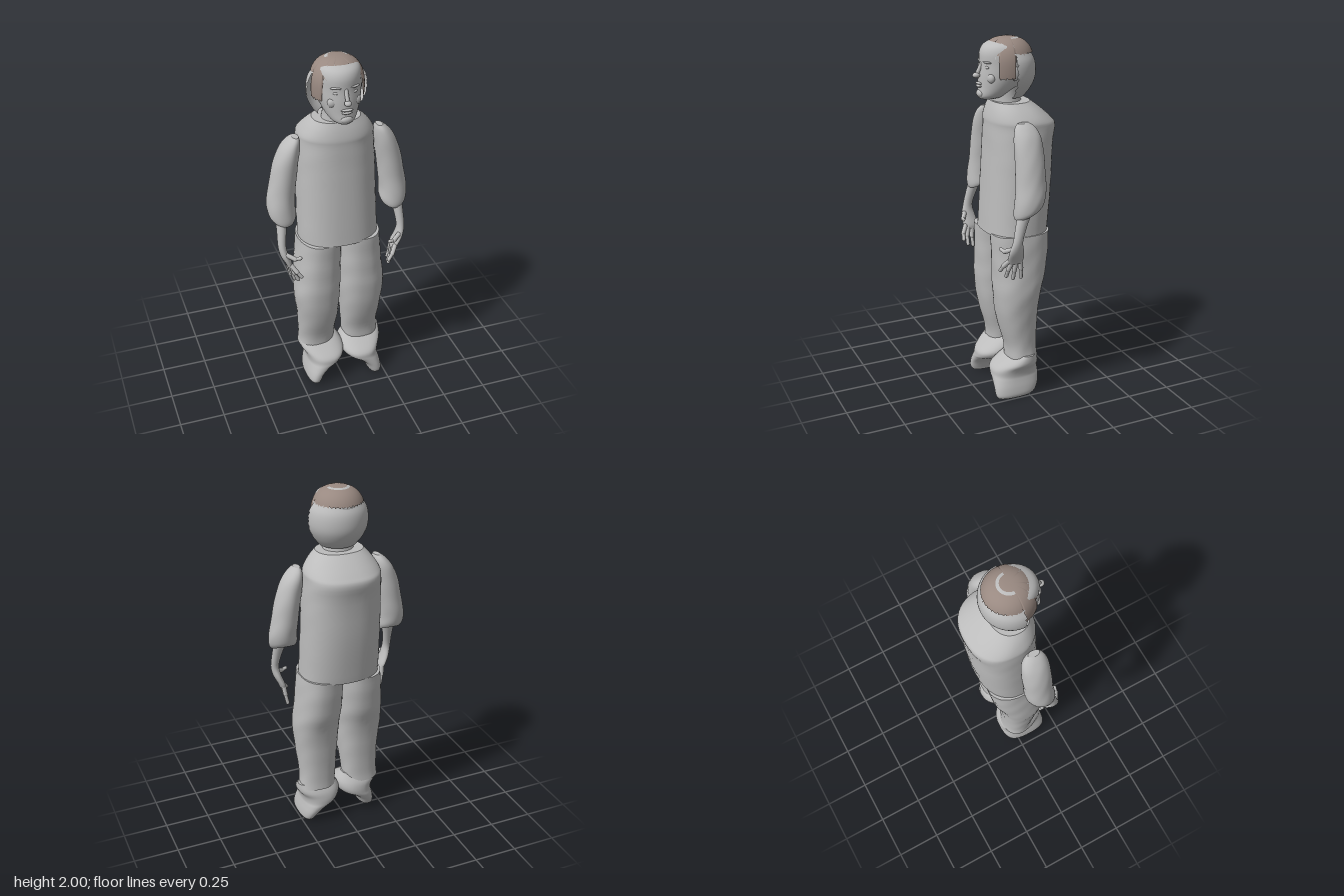
import * as THREE from 'three';

const SIDE = THREE.DoubleSide;

// Smooth interpolation of one ring value between neighbours
function cubic(a, b, c, d, t) {
  const m0 = (c - a) / 2, m1 = (d - b) / 2, t2 = t * t, t3 = t2 * t;
  return (2 * t3 - 3 * t2 + 1) * b + (t3 - 2 * t2 + t) * m0 + (3 * t2 - 2 * t3) * c + (t3 - t2) * m1;
}

// Loft through horizontal rings [y, x0, x1, z0, z1, tilt], listed from bottom to top
function loft(rings, { seg = 36, steps = 4, power = 2, ripple = 0 } = {}) {
  const rows = [];
  const last = rings.length - 1;
  for (let i = 0; i <= last * steps; i++) {
    const k = Math.min(Math.floor(i / steps), last - 1), t = i / steps - k;
    const at = (j) => rings[Math.max(0, Math.min(last, j))];
    rows.push([0, 1, 2, 3, 4, 5].map((c) =>
      cubic(at(k - 1)[c] ?? 0, at(k)[c] ?? 0, at(k + 1)[c] ?? 0, at(k + 2)[c] ?? 0, t)));
  }
  const pos = [], idx = [];
  const bend = (v) => Math.sign(v) * Math.abs(v) ** (2 / power);
  const addRing = ([y, x0, x1, z0, z1, tilt]) => {
    for (let s = 0; s < seg; s++) {
      const a = (s / seg) * Math.PI * 2;
      const f = 1 + ripple * Math.sin(y * 37 + 2 * Math.sin(a * 2)) * Math.sin(a * 3 + y * 9);
      const dz = bend(Math.sin(a)) * (z1 - z0) / 2 * f;
      pos.push((x0 + x1) / 2 + bend(Math.cos(a)) * (x1 - x0) / 2 * f, y + tilt * dz, (z0 + z1) / 2 + dz);
    }
  };
  rows.forEach(addRing);
  for (let r = 0; r < rows.length - 1; r++) {
    for (let s = 0; s < seg; s++) {
      const a = r * seg + s, b = r * seg + (s + 1) % seg;
      idx.push(a, a + seg, b, b, a + seg, b + seg);
    }
  }
  // End caps with their own corners, so the rims stay sharp
  [rows[0], rows[rows.length - 1]].forEach((row, top) => {
    const start = pos.length / 3;
    addRing(row);
    pos.push((row[1] + row[2]) / 2, row[0], (row[3] + row[4]) / 2);
    for (let s = 0; s < seg; s++) {
      const a = start + s, b = start + (s + 1) % seg;
      if (top) idx.push(start + seg, b, a);
      else idx.push(start + seg, a, b);
    }
  });
  return finish(pos, idx);
}

// Open surface from a rule fn(u, v) -> [x, y, z]
function grid(fn, nu, nv) {
  const pos = [], idx = [], w = nu + 1;
  for (let j = 0; j <= nv; j++) for (let i = 0; i <= nu; i++) pos.push(...fn(i / nu, j / nv));
  for (let j = 0; j < nv; j++) {
    for (let i = 0; i < nu; i++) {
      const p = j * w + i;
      idx.push(p, p + w, p + 1, p + 1, p + w, p + w + 1);
    }
  }
  return finish(pos, idx);
}

function finish(pos, idx) {
  const g = new THREE.BufferGeometry();
  g.setAttribute('position', new THREE.Float32BufferAttribute(pos, 3));
  g.setIndex(idx);
  g.computeVertexNormals();
  return g;
}

export function createModel() {
  const model = new THREE.Group();
  model.name = 'figure';
  const grey = new THREE.MeshStandardMaterial({ name: 'plain grey', color: 0xbcbcbc, side: SIDE });
  const brown = new THREE.MeshStandardMaterial({ name: 'hair brown', color: 0x998981, side: SIDE });

  const add = (name, geometry, material = grey, parent = model) => {
    const mesh = new THREE.Mesh(geometry, material);
    mesh.name = name;
    parent.add(mesh);
    return mesh;
  };
  const blob = (name, p, r, parent = model) => {
    const m = add(name, new THREE.SphereGeometry(1, 16, 12), grey, parent);
    m.position.set(...p);
    m.scale.set(...r);
    return m;
  };
  const rod = (name, a, b, r, parent) => {
    const A = new THREE.Vector3(...a), d = new THREE.Vector3(...b).sub(A);
    const m = add(name, new THREE.CapsuleGeometry(r, d.length(), 4, 10), grey, parent);
    m.position.copy(A).addScaledVector(d, 0.5);
    m.quaternion.setFromUnitVectors(new THREE.Vector3(0, 1, 0), d.normalize());
  };
  // Mirror rings to the other side, with small shifts
  const mirror = (rings, dx = 0, dy = 0) =>
    rings.map(([y, x0, x1, ...rest]) => [y + dy, -x1 + dx, -x0 + dx, ...rest]);

  // Shirt body with sloping shoulders
  add('shirt', loft([
    [0.945, -0.212, 0.235, -0.17, 0.18], [1.2, -0.21, 0.228, -0.195, 0.165],
    [1.42, -0.205, 0.222, -0.205, 0.152], [1.53, -0.2, 0.215, -0.22, 0.148],
    [1.57, -0.195, 0.21, -0.195, 0.147], [1.62, -0.165, 0.175, -0.14, 0.135],
    [1.662, -0.13, 0.13, -0.085, 0.12],
  ], { seg: 48, power: 2.3, ripple: 0.006 }));
  add('neck', loft([[1.6, -0.1, 0.1, -0.07, 0.11], [1.68, -0.08, 0.08, -0.04, 0.11], [1.76, -0.08, 0.08, -0.04, 0.11]]));

  // Trousers
  const leg = [
    [0.225, 0.04, 0.25, -0.075, 0.1], [0.3, 0.035, 0.245, -0.07, 0.105],
    [0.45, 0.02, 0.255, -0.075, 0.145], [0.6, 0.01, 0.27, -0.09, 0.165],
    [0.72, 0.005, 0.262, -0.125, 0.168], [0.85, 0.002, 0.25, -0.145, 0.17], [0.955, 0, 0.24, -0.155, 0.172],
  ];
  const legOptions = { power: 2.3, ripple: 0.012 };
  add('leftTrouserLeg', loft(leg, legOptions));
  add('rightTrouserLeg', loft(mirror(leg, 0.018, -0.01), legOptions));

  // Shoes, leaning outwards
  const shoe = [
    [0, 0.165, 0.24, -0.03, 0.18], [0.02, 0.158, 0.247, -0.05, 0.19], [0.06, 0.135, 0.242, -0.07, 0.192],
    [0.1, 0.085, 0.233, -0.083, 0.19], [0.125, 0.035, 0.23, -0.086, 0.188], [0.16, 0.012, 0.238, -0.085, 0.18],
    [0.2, 0.015, 0.262, -0.075, 0.13], [0.25, 0.045, 0.262, -0.045, 0.06],
  ];
  add('leftShoe', loft(shoe, { power: 2.4 }));
  add('rightShoe', loft(mirror(shoe, 0.035, 0.012), { power: 2.4 }));

  // Sleeves, forearms and hands
  const sleeve = [
    [1.125, 0.25, 0.375, -0.02, 0.125, -0.45], [1.15, 0.24, 0.392, -0.032, 0.13, -0.4],
    [1.21, 0.243, 0.396, -0.042, 0.124, -0.25], [1.3, 0.235, 0.38, -0.045, 0.115, -0.1],
    [1.42, 0.22, 0.355, -0.046, 0.112], [1.51, 0.208, 0.32, -0.04, 0.108],
    [1.56, 0.208, 0.282, -0.02, 0.095], [1.585, 0.215, 0.25, 0.01, 0.075],
  ];
  const forearm = [
    [0.845, 0.288, 0.318, 0.085, 0.155], [0.87, 0.29, 0.328, 0.075, 0.165], [0.92, 0.308, 0.352, 0.083, 0.165],
    [0.98, 0.32, 0.364, 0.095, 0.15], [1.06, 0.31, 0.362, 0.07, 0.133], [1.15, 0.29, 0.36, 0.03, 0.11],
  ];
  const fingers = [
    [[0.302, 0.865, 0.155], [0.278, 0.83, 0.178], [0.255, 0.8, 0.185]],
    [[0.302, 0.86, 0.137], [0.285, 0.81, 0.152], [0.265, 0.765, 0.155]],
    [[0.302, 0.855, 0.115], [0.29, 0.8, 0.12], [0.275, 0.75, 0.12]],
    [[0.303, 0.855, 0.092], [0.298, 0.81, 0.085], [0.287, 0.755, 0.08]],
    [[0.325, 0.935, 0.15], [0.285, 0.915, 0.175], [0.258, 0.92, 0.183]],
  ];
  for (const s of [1, -1]) {
    const arm = new THREE.Group();
    arm.name = s > 0 ? 'leftArm' : 'rightArm';
    model.add(arm);
    const pick = (r) => (s > 0 ? r : mirror(r));
    add('sleeve', loft(pick(sleeve), { ripple: 0.015 }), grey, arm);
    add('forearm', loft(pick(forearm), { seg: 20 }), grey, arm);
    fingers.forEach((f) => {
      const [a, b, c] = f.map(([x, y, z]) => [x * s, y, z]);
      rod('finger', a, b, 0.013, arm);
      rod('fingerTip', b, c, 0.0105, arm);
    });
  }

  // Head and face
  const head = new THREE.Group();
  head.name = 'head';
  model.add(head);
  add('skull', loft([
    [1.678, -0.035, 0.035, 0.09, 0.18], [1.695, -0.065, 0.065, 0.03, 0.195], [1.74, -0.093, 0.093, -0.03, 0.19],
    [1.8, -0.113, 0.113, -0.08, 0.187], [1.86, -0.12, 0.12, -0.1, 0.18], [1.92, -0.12, 0.12, -0.1, 0.178],
    [1.96, -0.105, 0.105, -0.08, 0.155], [1.985, -0.065, 0.065, -0.03, 0.1],
  ]), grey, head);
  blob('noseTip', [0, 1.805, 0.204], [0.019, 0.015, 0.021], head);
  rod('noseBridge', [0, 1.865, 0.173], [0, 1.815, 0.198], 0.011, head);
  blob('upperLip', [0, 1.762, 0.191], [0.033, 0.007, 0.012], head);
  blob('lowerLip', [0, 1.748, 0.19], [0.028, 0.008, 0.012], head);
  blob('chin', [0, 1.708, 0.182], [0.033, 0.022, 0.02], head);
  for (const s of [1, -1]) {
    blob('eye', [0.045 * s, 1.85, 0.162], [0.02, 0.009, 0.01], head);
    const brow = blob('brow', [0.047 * s, 1.876, 0.163], [0.032, 0.007, 0.012], head);
    brow.rotation.y = 0.3 * s;
    blob('cheek', [0.058 * s, 1.795, 0.145], [0.032, 0.03, 0.022], head);
    blob('ear', [0.12 * s, 1.82, 0.035], [0.013, 0.038, 0.024], head);
  }

  // Hair: ragged patches over a rounded cap
  const rag = (a) => 0.5 * Math.sin(a * 41) + 0.5 * Math.sin(a * 67 + 1);
  const soft = (v) => Math.sign(v) * Math.abs(v) ** 0.8;
  const onCap = (phi, theta, k = 1) => [
    0.143 * k * soft(Math.sin(theta)) * Math.sin(phi),
    1.84 + 0.158 * k * soft(Math.cos(theta)),
    0.03 + 0.147 * k * soft(Math.sin(theta)) * Math.cos(phi),
  ];
  const brownEdge = (phi) => {
    const a = Math.abs(phi);
    const base = a < 0.45 ? 0.6 : a < 0.9 ? 1.15 : a < 1.52 ? 1.78 : 1.14;
    return base + 0.05 * rag(phi);
  };
  const bangEdge = (phi) => 1.22 + 0.09 * rag(phi * 1.3);
  add('brownHair', grid((u, v) => {
    const phi = (u * 2 - 1) * Math.PI;
    return onCap(phi, 0.001 + v * brownEdge(phi));
  }, 160, 20), brown, head);
  add('fringe', grid((u, v) => {
    const phi = (u * 2 - 1) * 0.75;
    const top = 0.55;
    return onCap(phi, top + v * (bangEdge(phi) - top), 0.992);
  }, 60, 10), grey, head);
  add('crownPatch', grid((u, v) => onCap((0.5 + u) * Math.PI, 0.25 + v * 0.11, 1.008), 30, 3), grey, head);

  // Hair around the back of the head, with ragged side edges
  const backProfile = new THREE.CatmullRomCurve3([[0.13, 1.925], [0.155, 1.88], [0.163, 1.83], [0.158, 1.78],
    [0.135, 1.73], [0.1, 1.685]].map(([r, y]) => new THREE.Vector3(r, y, 0)));
  add('backHair', grid((u, v) => {
    const p = backProfile.getPoint(v);
    const span = Math.PI / 2 + 0.05 * rag(p.y * 4);
    const phi = Math.PI + (u * 2 - 1) * span;
    return [p.x * Math.sin(phi), p.y, 0.04 + p.x * Math.cos(phi)];
  }, 48, 28), grey, head);

  return model;
}
